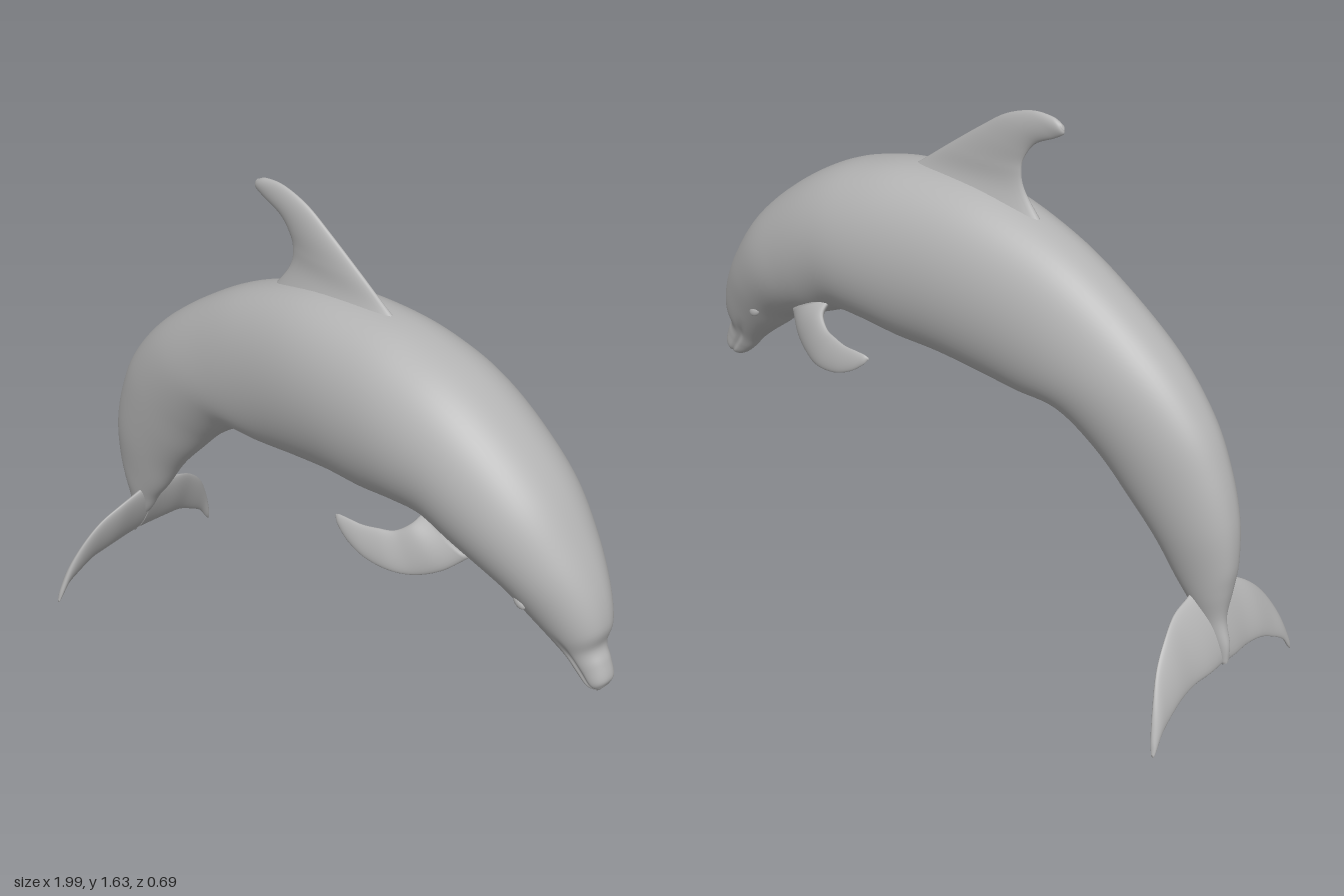
import * as THREE from 'three';

const V = (x, y, z = 0) => new THREE.Vector3(x, y, z);
const spline = (pts) => new THREE.CatmullRomCurve3(pts, false, 'catmullrom', 0.5);

// Smooth closed loft. Each section: [edge A, edge B, half thickness along `normal`].
function loft(sections, normal, { steps = 60, sides = 32, power = 1, shape = () => 1 } = {}) {
  const curveA = spline(sections.map((s) => s[0]));
  const curveB = spline(sections.map((s) => s[1]));
  const curveW = spline(sections.map((s) => V(s[2], 0)));
  const n = normal.clone().normalize();
  const pos = [], index = [];
  for (let i = 0; i <= steps; i++) {
    const u = i / steps;
    const a = curveA.getPoint(u), b = curveB.getPoint(u), w = Math.max(curveW.getPoint(u).x, 0.002);
    const c = a.clone().add(b).multiplyScalar(0.5), h = a.clone().sub(c);
    for (let j = 0; j < sides; j++) {
      const t = (j / sides) * Math.PI * 2, s = Math.sin(t);
      const k = Math.sign(s) * Math.pow(Math.abs(s), power) * w * shape(u, t);
      const p = c.clone().addScaledVector(h, Math.cos(t)).addScaledVector(n, k);
      pos.push(p.x, p.y, p.z);
      if (i < steps) {
        const q = i * sides + j, r = i * sides + (j + 1) % sides;
        index.push(q, r, q + sides, r, r + sides, q + sides);
      }
    }
  }
  // end caps
  const last = steps * sides;
  for (let j = 1; j < sides - 1; j++) index.push(0, j + 1, j, last, last + j, last + j + 1);
  // make every face look outward
  const P = (i) => V(pos[3 * i], pos[3 * i + 1], pos[3 * i + 2]);
  let volume = 0;
  for (let i = 0; i < index.length; i += 3)
    volume += P(index[i]).dot(P(index[i + 1]).cross(P(index[i + 2])));
  if (volume < 0) index.reverse();
  const g = new THREE.BufferGeometry();
  g.setAttribute('position', new THREE.Float32BufferAttribute(pos, 3));
  g.setIndex(index);
  g.computeVertexNormals();
  return g;
}

export function createModel() {
  const group = new THREE.Group();
  const skin = new THREE.MeshStandardMaterial({ color: 0xb4b4b4 });
  skin.name = 'grey skin';
  const add = (name, geometry) => {
    const m = new THREE.Mesh(geometry, skin);
    m.name = name;
    group.add(m);
    return m;
  };

  // Body from tail stock to beak: back x, y, belly x, y, half width
  const body = [
    [-0.985, 0.14, -0.965, 0.13, 0.010], [-0.985, 0.20, -0.94, 0.18, 0.018],
    [-0.967, 0.28, -0.885, 0.25, 0.030], [-0.98, 0.38, -0.85, 0.31, 0.050],
    [-0.99, 0.47, -0.80, 0.375, 0.066], [-0.98, 0.60, -0.73, 0.48, 0.09],
    [-0.94, 0.74, -0.64, 0.58, 0.11], [-0.87, 0.88, -0.525, 0.695, 0.13],
    [-0.74, 1.03, -0.39, 0.778, 0.15], [-0.55, 1.175, -0.25, 0.782, 0.165],
    [-0.35, 1.285, -0.12, 0.795, 0.18], [-0.10, 1.36, 0.03, 0.81, 0.20],
    [0.16, 1.367, 0.17, 0.815, 0.215], [0.35, 1.33, 0.29, 0.83, 0.22],
    [0.50, 1.27, 0.40, 0.83, 0.212], [0.65, 1.17, 0.50, 0.79, 0.20],
    [0.78, 1.05, 0.58, 0.76, 0.183], [0.88, 0.91, 0.67, 0.715, 0.15],
    [0.945, 0.79, 0.74, 0.655, 0.115], [0.973, 0.69, 0.81, 0.60, 0.085],
    [0.962, 0.622, 0.86, 0.555, 0.06], [0.982, 0.58, 0.895, 0.515, 0.05],
    [0.998, 0.53, 0.93, 0.485, 0.042], [0.988, 0.50, 0.965, 0.477, 0.022],
  ].map(([ax, ay, bx, by, w]) => [V(ax, ay), V(bx, by), w]);
  // shallow mouth crease along the beak
  const crease = (u, t) => {
    const depth = 0.13 * THREE.MathUtils.smoothstep(u, 0.8, 0.88);
    const side = Math.PI - Math.abs(Math.PI - t);
    return 1 - depth * Math.exp(-(((side - 1.85) / 0.14) ** 2));
  };
  add('body', loft(body, V(0, 0, 1), { steps: 140, sides: 64, power: 0.88, shape: crease }));

  // Swept dorsal fin: leading edge, trailing edge, half thickness
  add('dorsalFin', loft([
    [V(0.24, 1.32), V(-0.32, 1.26), 0.06], [V(0.155, 1.38), V(-0.225, 1.38), 0.028],
    [V(0.06, 1.452), V(-0.208, 1.45), 0.022], [V(-0.06, 1.54), V(-0.225, 1.50), 0.02],
    [V(-0.15, 1.60), V(-0.26, 1.54), 0.018], [V(-0.24, 1.632), V(-0.32, 1.57), 0.015],
    [V(-0.31, 1.633), V(-0.352, 1.59), 0.012], [V(-0.345, 1.62), V(-0.355, 1.605), 0.005],
  ], V(0, 0, 1), { power: 1.15 }));

  for (const [label, s] of [['left', -1], ['right', 1]].map(([l, k]) => [l, k])) {
    // Tail flukes
    add(label + 'Fluke', loft([
      [V(-0.87, 0.365, 0), V(-0.97, 0.135, 0), 0.026],
      [V(-0.875, 0.345, s * 0.06), V(-0.97, 0.13, s * 0.06), 0.023],
      [V(-0.88, 0.325, s * 0.13), V(-0.965, 0.127, s * 0.13), 0.02],
      [V(-0.90, 0.285, s * 0.20), V(-0.968, 0.115, s * 0.20), 0.017],
      [V(-0.92, 0.225, s * 0.26), V(-0.972, 0.085, s * 0.26), 0.014],
      [V(-0.945, 0.145, s * 0.305), V(-0.977, 0.055, s * 0.305), 0.012],
      [V(-0.965, 0.06, s * 0.335), V(-0.98, 0.015, s * 0.333), 0.009],
      [V(-0.975, 0.012, s * 0.345), V(-0.98, 0.003, s * 0.343), 0.004],
    ], V(0.89, -0.45, 0), { power: 1.15 }));

    // Pectoral flippers
    add(label + 'Flipper', loft([
      [V(0.58, 0.80, s * 0.12), V(0.42, 0.89, s * 0.13), 0.035],
      [V(0.52, 0.75, s * 0.165), V(0.41, 0.865, s * 0.175), 0.024],
      [V(0.45, 0.72, s * 0.20), V(0.37, 0.835, s * 0.20), 0.018],
      [V(0.38, 0.717, s * 0.23), V(0.32, 0.828, s * 0.216), 0.015],
      [V(0.30, 0.73, s * 0.245), V(0.27, 0.823, s * 0.227), 0.012],
      [V(0.235, 0.757, s * 0.246), V(0.225, 0.824, s * 0.231), 0.01],
      [V(0.19, 0.79, s * 0.24), V(0.19, 0.823, s * 0.232), 0.007],
      [V(0.172, 0.812, s * 0.232), V(0.175, 0.818, s * 0.231), 0.003],
    ], V(0.3, 0.26, s * 0.91), { power: 1.1 }));

    // Eyelid bumps
    const eye = add(label + 'Eyelid', new THREE.SphereGeometry(0.02, 20, 14));
    eye.scale.set(1.2, 0.8, 0.6);
    eye.rotation.z = -0.7;
    eye.position.set(0.76, 0.735, s * 0.118);
  }
  return group;
}
